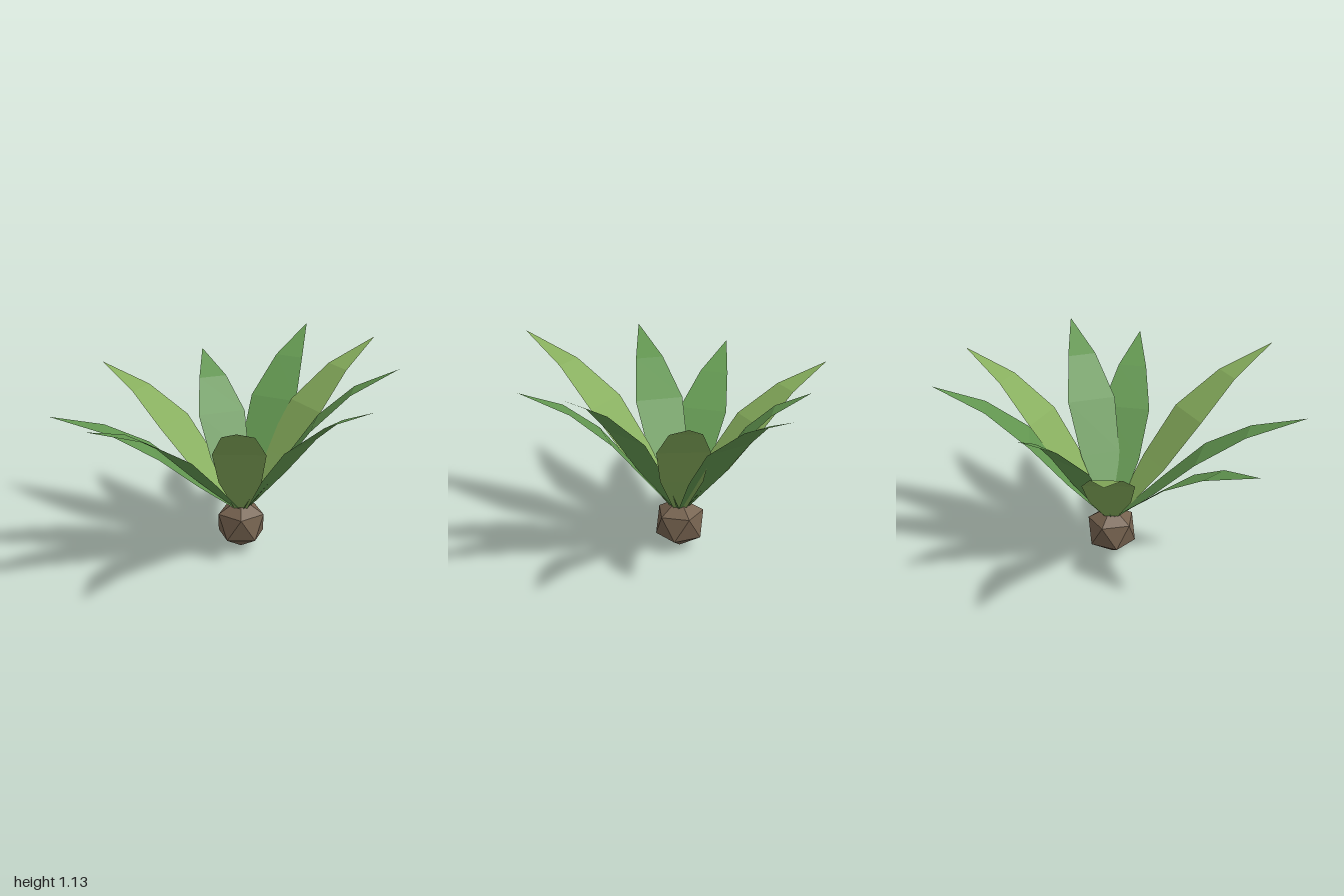
import * as THREE from 'three';

const CENTRE = new THREE.Vector3(0.05, 0, 0.04);
const BASE_Y = 0.25;

// Leaf tips [x, y, z], going round the plant
const TIPS = [
  [-0.02, 0.95, -0.91], [0.46, 0.98, -0.54], [0.99, 1.08, -0.14],
  [0.92, 1.10, 0.37], [0.38, 1.13, 0.82], [-0.03, 1.03, 0.91],
  [-0.82, 1.10, 0.63], [-1.0, 0.99, -0.14], [-0.76, 0.89, -0.63],
];

// Leaf stations: [share of reach, share of rise, width]
const STATIONS = [
  [0, 0, 0.07], [0.23, 0.31, 0.23], [0.45, 0.61, 0.28], [0.7, 0.84, 0.165], [1, 1, 0],
];

// Flat, gently arching blade from the crown to its tip
function leafGeometry([x, y, z]) {
  const dir = new THREE.Vector3(x, 0, z).sub(CENTRE);
  const reach = dir.length();
  dir.normalize();
  const side = new THREE.Vector3(-dir.z, 0, dir.x);
  const positions = [];
  const index = [];
  STATIONS.forEach(([out, rise, width], i) => {
    const mid = CENTRE.clone().addScaledVector(dir, 0.04 + (reach - 0.04) * out);
    mid.y = BASE_Y + (y - BASE_Y) * rise;
    for (const s of [-0.5, 0.5]) {
      const p = mid.clone().addScaledVector(side, s * width);
      positions.push(p.x, p.y, p.z);
    }
    if (i === 0) return;
    const a = 2 * (i - 1);
    index.push(a, a + 1, a + 2);
    if (width > 0) index.push(a + 1, a + 3, a + 2);
  });
  // The last section closes in a single point
  const last = 2 * (STATIONS.length - 2);
  index.splice(-3, 3, last, last + 1, last + 2);
  const geometry = new THREE.BufferGeometry();
  geometry.setAttribute('position', new THREE.Float32BufferAttribute(positions, 3));
  geometry.setIndex(index);
  geometry.computeVertexNormals();
  return geometry;
}

// Faceted bulb standing on one corner
function bulbGeometry(radius) {
  const geometry = new THREE.IcosahedronGeometry(radius, 0);
  const corner = new THREE.Vector3().fromBufferAttribute(geometry.attributes.position, 0).normalize();
  const turn = new THREE.Quaternion().setFromUnitVectors(corner, new THREE.Vector3(0, 1, 0));
  geometry.applyQuaternion(turn);
  // Spin so that a corner of the upper ring points to +x
  const p = geometry.attributes.position;
  for (let i = 0; i < p.count; i++) {
    if (p.getY(i) > 0.2 * radius && p.getY(i) < 0.8 * radius) {
      geometry.rotateY(Math.atan2(p.getZ(i), p.getX(i)));
      break;
    }
  }
  return geometry;
}

export function createModel() {
  const group = new THREE.Group();
  group.name = 'plant';

  const leafMaterial = (color) => new THREE.MeshStandardMaterial({
    color, flatShading: true, side: THREE.DoubleSide,
  });
  const paleGreen = leafMaterial(0x86ad5c);
  const green = leafMaterial(0x629650);

  // Ring of leaves, every third one paler
  const leaves = new THREE.Group();
  leaves.name = 'leaves';
  TIPS.forEach((tip, i) => {
    const leaf = new THREE.Mesh(leafGeometry(tip), i % 3 === 0 ? paleGreen : green);
    leaf.name = `leaf${i + 1}`;
    leaves.add(leaf);
  });
  group.add(leaves);

  // Bulb
  const bulb = new THREE.Mesh(
    bulbGeometry(0.15),
    new THREE.MeshStandardMaterial({ color: 0x75624f, flatShading: true }),
  );
  bulb.name = 'bulb';
  bulb.position.set(CENTRE.x, 0.15, CENTRE.z);
  group.add(bulb);

  return group;
}
